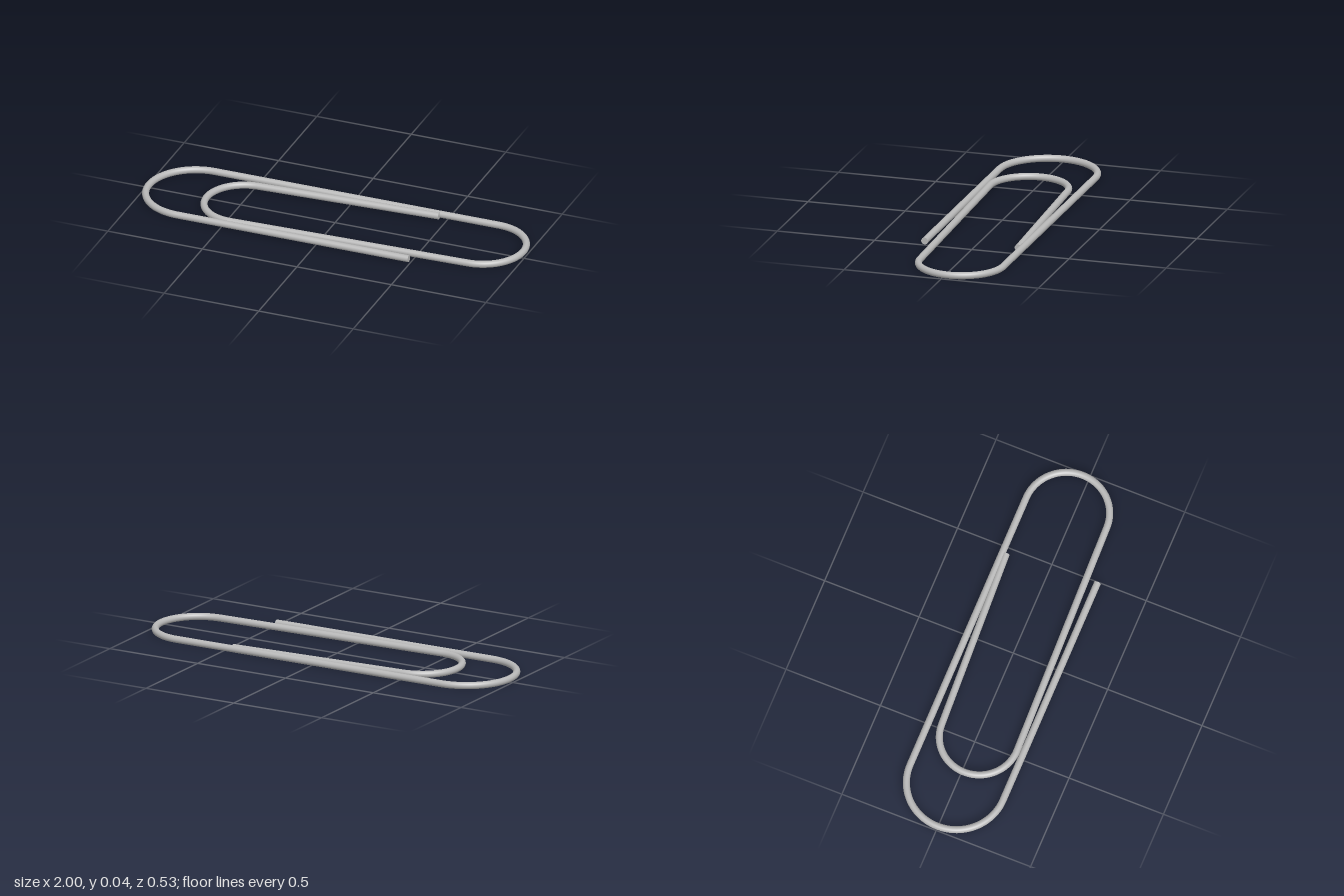
import * as THREE from 'three';

const R = 0.0175; // wire radius

// Curve through bend points with exact tangents, so straights need no subdivisions
class WirePath extends THREE.Curve {
  constructor(points, tangents) {
    super();
    this.points = points;
    this.tangents = tangents;
  }
  index(u) { return Math.round(u * (this.points.length - 1)); }
  getPoint(t, target = new THREE.Vector3()) { return target.copy(this.points[this.index(t)]); }
  getPointAt(u, target) { return this.getPoint(u, target); }
  getTangent(t, target = new THREE.Vector3()) { return target.copy(this.tangents[this.index(t)]); }
  getTangentAt(u, target) { return this.getTangent(u, target); }
}

export function createModel() {
  const group = new THREE.Group();
  group.name = 'paperClip';
  const steel = new THREE.MeshStandardMaterial({ color: 0xb8b8b8 });
  steel.name = 'steel';

  const points = [], tangents = [];
  const add = (x, z, tx, tz) => {
    points.push(new THREE.Vector3(x, R, z));
    tangents.push(new THREE.Vector3(tx, 0, tz).normalize());
  };
  const bend = (cx, cz, r, from, to, steps = 40) => {
    for (let i = 0; i <= steps; i++) {
      const a = THREE.MathUtils.degToRad(from + (to - from) * i / steps);
      add(cx + r * Math.cos(a), cz + r * Math.sin(a), -Math.sin(a), Math.cos(a));
    }
  };

  // Outer free end, three bends joined by straights, inner free end
  add(0.49, 0.246, -1, 0);
  bend(-0.737, 0, 0.246, 90, 270);
  bend(0.77, -0.0335, 0.2125, 270, 448.57);
  bend(-0.475, 0.0145, 0.197, 448.57, 627.3);
  add(0.46, -0.2255, 0.95, -0.045);

  const path = new WirePath(points, tangents);
  const wire = new THREE.Mesh(new THREE.TubeGeometry(path, points.length - 1, R, 24, false), steel);
  wire.name = 'wire';
  group.add(wire);

  // Flat cut ends
  const cap = (name, point, outward) => {
    const mesh = new THREE.Mesh(new THREE.CircleGeometry(R, 24), steel);
    mesh.name = name;
    mesh.position.copy(point);
    mesh.quaternion.setFromUnitVectors(new THREE.Vector3(0, 0, 1), outward);
    group.add(mesh);
  };
  cap('outerEnd', points[0], tangents[0].clone().negate());
  cap('innerEnd', points[points.length - 1], tangents[tangents.length - 1].clone());

  return group;
}
